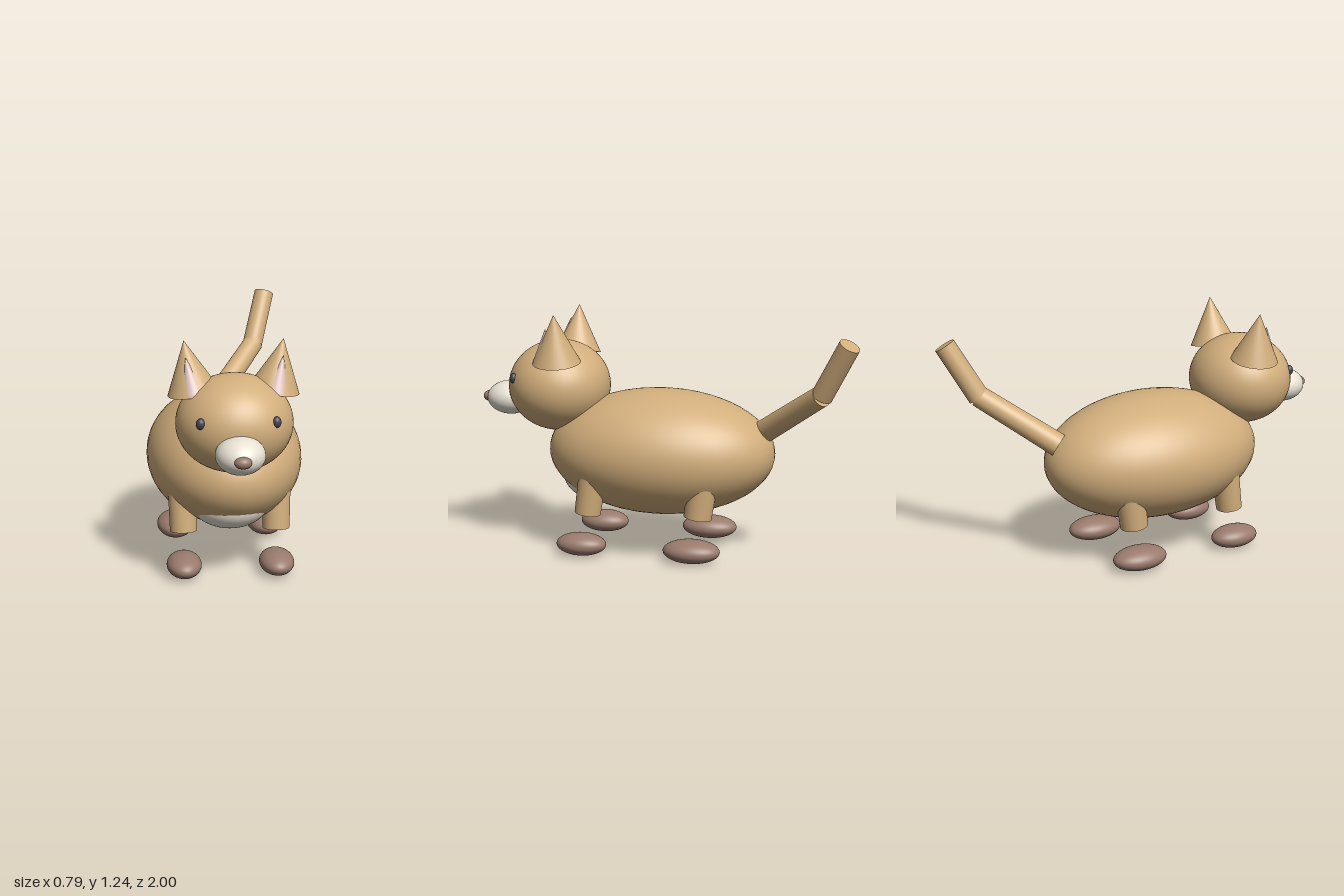
import * as THREE from 'three';

const paint = (color) => new THREE.MeshStandardMaterial({ color });

export function createModel() {
  const model = new THREE.Group();
  const fur = paint(0xd2ae7c), cream = paint(0xe8e2d4), brown = paint(0x9a7b6d);
  const dark = paint(0x44444f), pink = paint(0xe3c8c4);

  const add = (name, geometry, material) => {
    const mesh = new THREE.Mesh(geometry, material);
    mesh.name = name;
    model.add(mesh);
    return mesh;
  };

  // Ellipsoid from a centre and three radii
  const blob = (name, material, centre, radii) => {
    const mesh = add(name, new THREE.SphereGeometry(1, 48, 32), material);
    mesh.position.set(...centre);
    mesh.scale.set(...radii);
    return mesh;
  };

  // Round bar or cone between two points
  const rod = (name, material, from, to, rFrom, rTo) => {
    const a = new THREE.Vector3(...from), b = new THREE.Vector3(...to);
    const axis = b.clone().sub(a);
    const mesh = add(name, new THREE.CylinderGeometry(rTo, rFrom, axis.length(), 40), material);
    mesh.position.copy(a).add(b).multiplyScalar(0.5);
    mesh.quaternion.setFromUnitVectors(new THREE.Vector3(0, 1, 0), axis.normalize());
    return mesh;
  };

  // Body, chest patch and head
  blob('body', fur, [0, 0.52, 0.04], [0.395, 0.323, 0.59]);
  blob('chestPatch', cream, [0, 0.38, 0.365], [0.2, 0.135, 0.193]);
  blob('head', fur, [0, 0.845, 0.582], [0.28, 0.235, 0.263]);
  blob('muzzle', cream, [0, 0.768, 0.85], [0.117, 0.088, 0.125]);
  blob('nose', brown, [0, 0.77, 0.968], [0.04, 0.028, 0.032]);

  for (const [side, s] of [['left', 1], ['right', -1]]) {
    // Eyes and ears
    blob(side + 'Eye', dark, [s * 0.175, 0.898, 0.775], [0.022, 0.027, 0.02]);
    rod(side + 'Ear', fur, [s * 0.192, 0.991, 0.54], [s * 0.235, 1.237, 0.54], 0.122, 0);
    rod(side + 'InnerEar', pink, [s * 0.195, 0.995, 0.605], [s * 0.23, 1.167, 0.585], 0.055, 0);

    // Legs lean forward at the foot, with separate paws below
    rod(side + 'FrontLeg', fur, [s * 0.232, 0.227, 0.374], [s * 0.235, 0.52, 0.333], 0.067, 0.073);
    rod(side + 'BackLeg', fur, [s * 0.238, 0.238, -0.2], [s * 0.238, 0.52, -0.24], 0.071, 0.076);
    blob(side + 'FrontPaw', brown, [s * 0.232, 0.06, 0.41], [0.087, 0.058, 0.13]);
    blob(side + 'BackPaw', brown, [s * 0.24, 0.06, -0.168], [0.096, 0.06, 0.146]);
  }

  // Two-piece tail bending up to the left
  rod('tailBase', fur, [0, 0.645, -0.495], [0.25, 0.885, -0.81], 0.06, 0.054);
  rod('tailTip', fur, [0.245, 0.88, -0.81], [0.325, 1.145, -0.948], 0.054, 0.053);

  return model;
}
